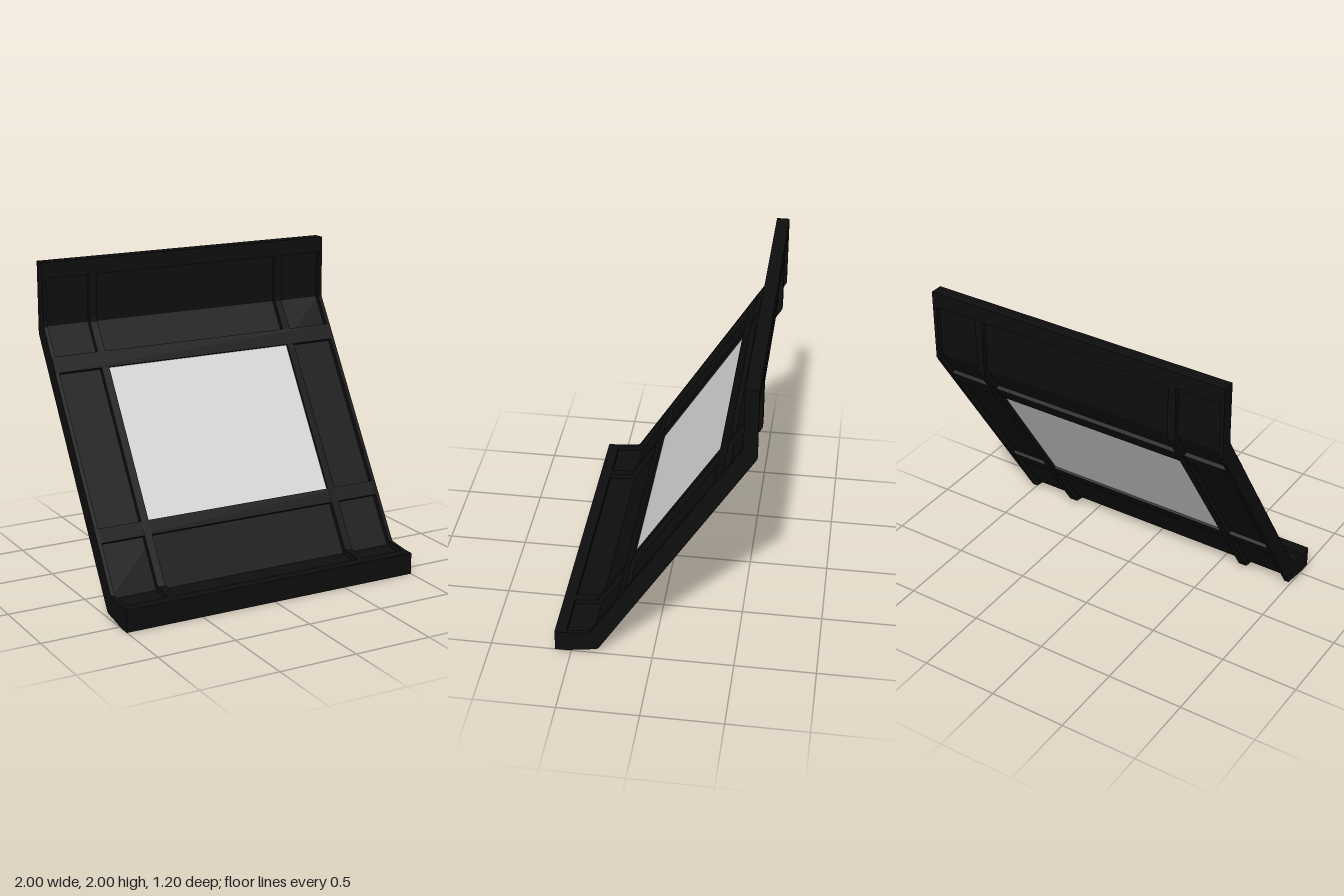
import * as THREE from 'three';

// Cross-sections as [z, y], front face first, running from the lower lip to the top
const FRAME = [[0.6, 0.14], [0.53, 0.14], [0.39, 0.155], [0.375, 0.17], [-0.515, 1.6], [-0.52, 1.63], [-0.52, 2],
  [-0.6, 2], [-0.6, 1.55], [-0.59, 1.53], [0.33, 0.04], [0.345, 0.03], [0.53, 0], [0.6, 0]];
const SKIN = [[0.56, 0.107], [0.53, 0.107], [0.363, 0.125], [-0.55, 1.597], [-0.55, 1.95],
  [-0.57, 1.95], [-0.57, 1.562], [0.353, 0.066], [0.53, 0.033], [0.56, 0.033]];

export function createModel() {
  const model = new THREE.Group();
  model.name = 'bentWindowPanel';
  const black = new THREE.MeshStandardMaterial({ color: 0x0e0e0e });
  black.name = 'black frame';
  const glass = new THREE.MeshStandardMaterial({ color: 0xd8d8d8 });
  glass.name = 'pale pane';

  // Sweep a cross-section across x from x0 to x1
  function strip(name, profile, x0, x1) {
    const shape = new THREE.Shape(profile.map(([z, y]) => new THREE.Vector2(-z, y)));
    const geo = new THREE.ExtrudeGeometry(shape, { depth: x1 - x0, bevelEnabled: false });
    geo.rotateY(Math.PI / 2).translate(x0, 0, 0);
    const mesh = new THREE.Mesh(geo, black);
    mesh.name = name;
    model.add(mesh);
  }

  function box(name, parent, material, width, y0, y1, z0, z1) {
    const mesh = new THREE.Mesh(new THREE.BoxGeometry(width, y1 - y0, z1 - z0), material);
    mesh.position.set(0, (y0 + y1) / 2, (z0 + z1) / 2);
    mesh.name = name;
    parent.add(mesh);
  }

  // Recessed panels and the raised ribs that follow the bends
  strip('recessedPanels', SKIN, -0.99, 0.99);
  for (const [side, s] of [['left', 1], ['right', -1]]) {
    for (const [part, a, b] of [['Rib', 0.64, 0.69], ['Edge', 0.975, 1]]) {
      strip(side + part, FRAME, Math.min(s * a, s * b), Math.max(s * a, s * b));
    }
  }

  // Lower lip and top rail
  box('lowerLip', model, black, 2, 0, 0.14, 0.53, 0.6);
  box('topRail', model, black, 2, 1.9, 2, -0.6, -0.52);

  // Sloping part: local y runs up the slope, local z = 0 is its front face
  const slope = new THREE.Group();
  slope.name = 'slope';
  slope.position.set(0, 0.92, -0.092);
  slope.rotation.x = -Math.atan(0.62);
  model.add(slope);
  const along = (y) => (y - 0.92) * Math.hypot(1, 0.62);
  box('lowerCrossbar', slope, black, 2, along(0.425), along(0.503), -0.094, 0);
  box('upperCrossbar', slope, black, 2, along(1.345), along(1.435), -0.094, 0);
  box('pane', slope, glass, 1.28, along(0.503), along(1.345), -0.079, -0.015);

  return model;
}
